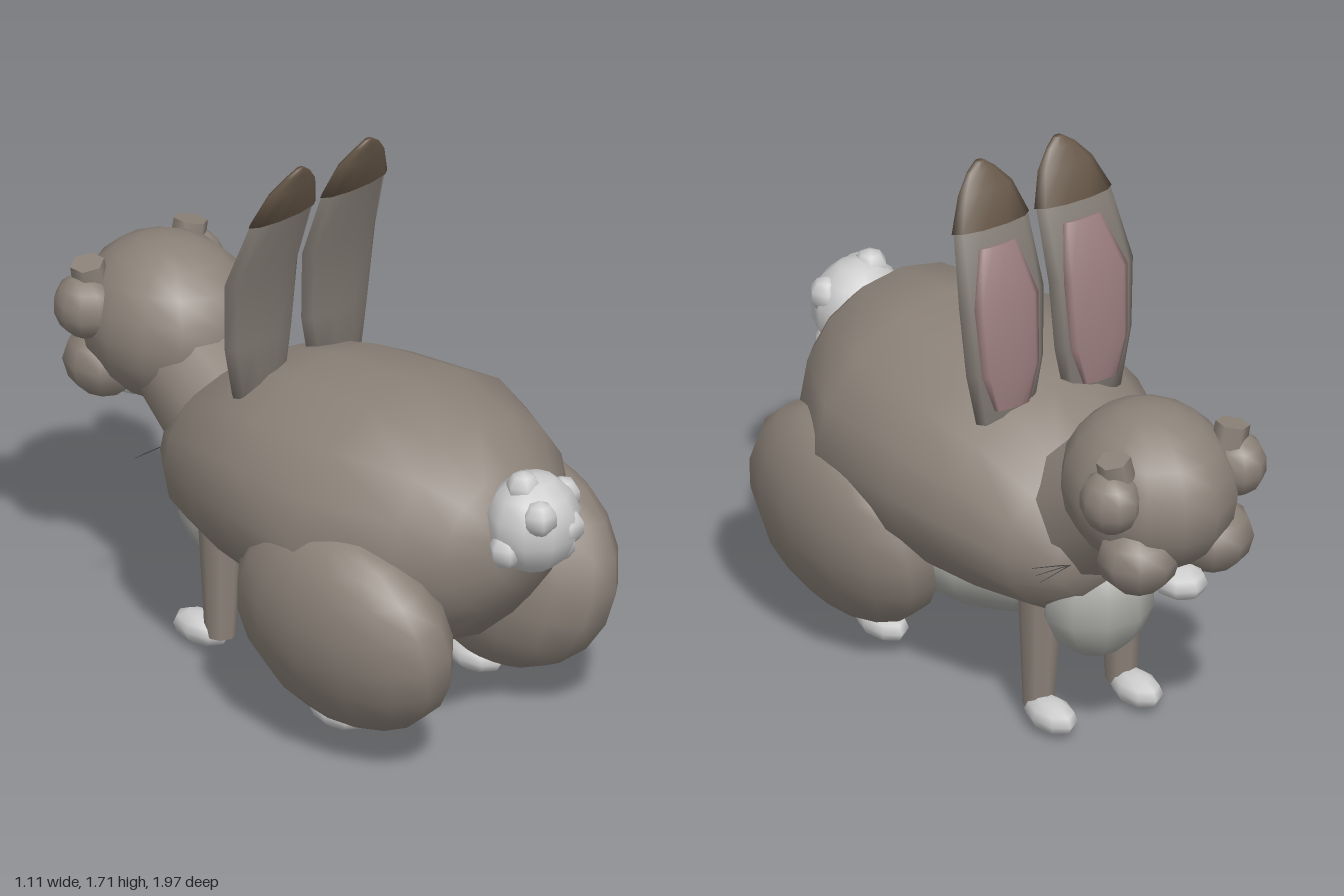
import * as THREE from 'three';

const mat = (color) => new THREE.MeshStandardMaterial({ color, side: THREE.DoubleSide });

// Closed tube of elliptical rings [y, cx, cz, rx, rz], listed from low y to high y
function loft(rings, n) {
  const pos = [], idx = [];
  for (const [y, cx, cz, rx, rz] of rings)
    for (let i = 0; i < n; i++) {
      const a = (i / n) * Math.PI * 2;
      pos.push(cx + Math.cos(a) * rx, y, cz + Math.sin(a) * rz);
    }
  for (let r = 0; r < rings.length - 1; r++)
    for (let i = 0; i < n; i++) {
      const a = r * n + i, b = r * n + (i + 1) % n;
      idx.push(a, a + n, b, b, a + n, b + n);
    }
  const last = (rings.length - 1) * n;
  for (let i = 1; i < n - 1; i++) idx.push(0, i, i + 1, last, last + i + 1, last + i);
  const g = new THREE.BufferGeometry();
  g.setAttribute('position', new THREE.Float32BufferAttribute(pos, 3));
  g.setIndex(idx);
  g.computeVertexNormals();
  return g;
}

export function createModel() {
  const model = new THREE.Group();
  const fur = mat(0x8c8279), earFur = mat(0x7d766f), tipFur = mat(0x665748);
  const pink = mat(0x977a7a), pale = mat(0xcccccc), under = mat(0xa9a9a5), dark = mat(0x444444);

  const add = (name, geo, material) => {
    const m = new THREE.Mesh(geo, material);
    m.name = name;
    model.add(m);
    return m;
  };
  const ball = (name, material, p, r, seg = 8, rot = [0, 0, 0]) => {
    const m = add(name, new THREE.SphereGeometry(1, seg, Math.max(5, Math.round(seg * 0.7))), material);
    m.position.set(...p);
    m.scale.set(...r);
    m.rotation.set(...rot);
    return m;
  };
  const rod = (name, material, a, b, ra, rb, seg) => {
    const A = new THREE.Vector3(...a), d = new THREE.Vector3(...b).sub(A);
    const m = add(name, new THREE.CylinderGeometry(rb, ra, d.length(), seg), material);
    m.position.copy(A).addScaledVector(d, 0.5);
    m.quaternion.setFromUnitVectors(new THREE.Vector3(0, 1, 0), d.normalize());
    return m;
  };

  // Torso: rings along z as [z, centre y, half width, half height]
  const torso = [
    [-0.56, 0.61, 0.05, 0.05], [-0.52, 0.61, 0.21, 0.15], [-0.4, 0.62, 0.31, 0.26],
    [-0.2, 0.66, 0.4, 0.33], [0, 0.68, 0.455, 0.36], [0.34, 0.68, 0.49, 0.4],
    [0.62, 0.69, 0.36, 0.345], [0.74, 0.7, 0.25, 0.23], [0.81, 0.7, 0.12, 0.12], [0.83, 0.7, 0.02, 0.02],
  ];
  add('body', loft(torso.map(([z, cy, w, h]) => [z, 0, -cy, w, h]), 16).rotateX(Math.PI / 2), fur);
  ball('belly', under, [0, 0.4, 0.14], [0.32, 0.21, 0.42], 12);
  ball('chest', under, [0, 0.42, -0.42], [0.18, 0.195, 0.16], 10);

  // Neck and head
  rod('neck', fur, [0, 0.7, -0.4], [0, 0.86, -0.66], 0.23, 0.19, 10);
  ball('head', fur, [0, 0.915, -0.705], [0.255, 0.255, 0.29], 14);
  ball('chin', pale, [0, 0.665, -0.86], [0.08, 0.055, 0.1]);

  // Tail with tufts
  ball('tail', pale, [0, 0.8, 0.85], [0.145, 0.155, 0.14], 10);
  const tufts = [[-0.04, 0.92, 0.85], [0.1, 0.86, 0.87], [-0.11, 0.74, 0.85],
    [0.09, 0.7, 0.86], [-0.06, 0.86, 0.94], [0.05, 0.8, 0.94]];
  tufts.forEach((p) => ball('tailTuft', pale, p, [0.055, 0.055, 0.055], 6));

  for (const s of [1, -1]) {
    const side = s > 0 ? 'left' : 'right';
    const part = (name) => side + name;

    // Face
    ball(part('Cheek'), fur, [s * 0.13, 0.77, -0.84], [0.125, 0.115, 0.125], 9);
    ball(part('Eye'), fur, [s * 0.22, 0.975, -0.83], [0.09, 0.1, 0.1], 10);
    rod(part('Brow'), fur, [s * 0.195, 1.04, -0.83], [s * 0.21, 1.11, -0.83], 0.055, 0.052, 6);
    for (const k of [-1, 0, 1])
      rod(part('Whisker'), dark, [s * 0.16, 0.61, -0.53], [s * 0.285, 0.61 + k * 0.015, -0.53 + k * 0.02], 0.002, 0.001, 4);

    // Ear: shell, dark tip and inner lining
    const ear = (rings) => loft(rings.map(([y, x, z, w, d]) => [y, s * x - 0.01, z, w, d]), 10);
    add(part('Ear'), ear([
      [0.93, 0.155, -0.15, 0.1, 0.045], [1.1, 0.155, -0.15, 0.135, 0.042],
      [1.32, 0.157, -0.135, 0.148, 0.036], [1.53, 0.145, -0.06, 0.13, 0.025]]), earFur);
    add(part('EarTip'), ear([
      [1.53, 0.145, -0.058, 0.136, 0.032], [1.63, 0.14, -0.022, 0.095, 0.025],
      [1.68, 0.14, 0.002, 0.05, 0.016], [1.705, 0.138, 0.012, 0.015, 0.01]]), tipFur);
    add(part('InnerEar'), ear([
      [0.98, 0.155, -0.19, 0.06, 0.012], [1.1, 0.155, -0.182, 0.1, 0.022],
      [1.32, 0.157, -0.162, 0.112, 0.022], [1.48, 0.148, -0.1, 0.065, 0.014]]), pink);

    // Legs and feet
    ball(part('Thigh'), fur, [s * 0.335, 0.42, 0.4], [0.215, 0.335, 0.41], 14, [0, 0, -s * 0.2]);
    ball(part('HindFoot'), pale, [s * 0.275, 0.075, 0.31], [0.063, 0.047, 0.11]);
    rod(part('FrontLeg'), fur, [s * 0.145, 0.05, -0.33], [s * 0.14, 0.48, -0.335], 0.047, 0.07, 8);
    ball(part('FrontPaw'), pale, [s * 0.15, 0.05, -0.405], [0.063, 0.05, 0.107]);
  }
  return model;
}
